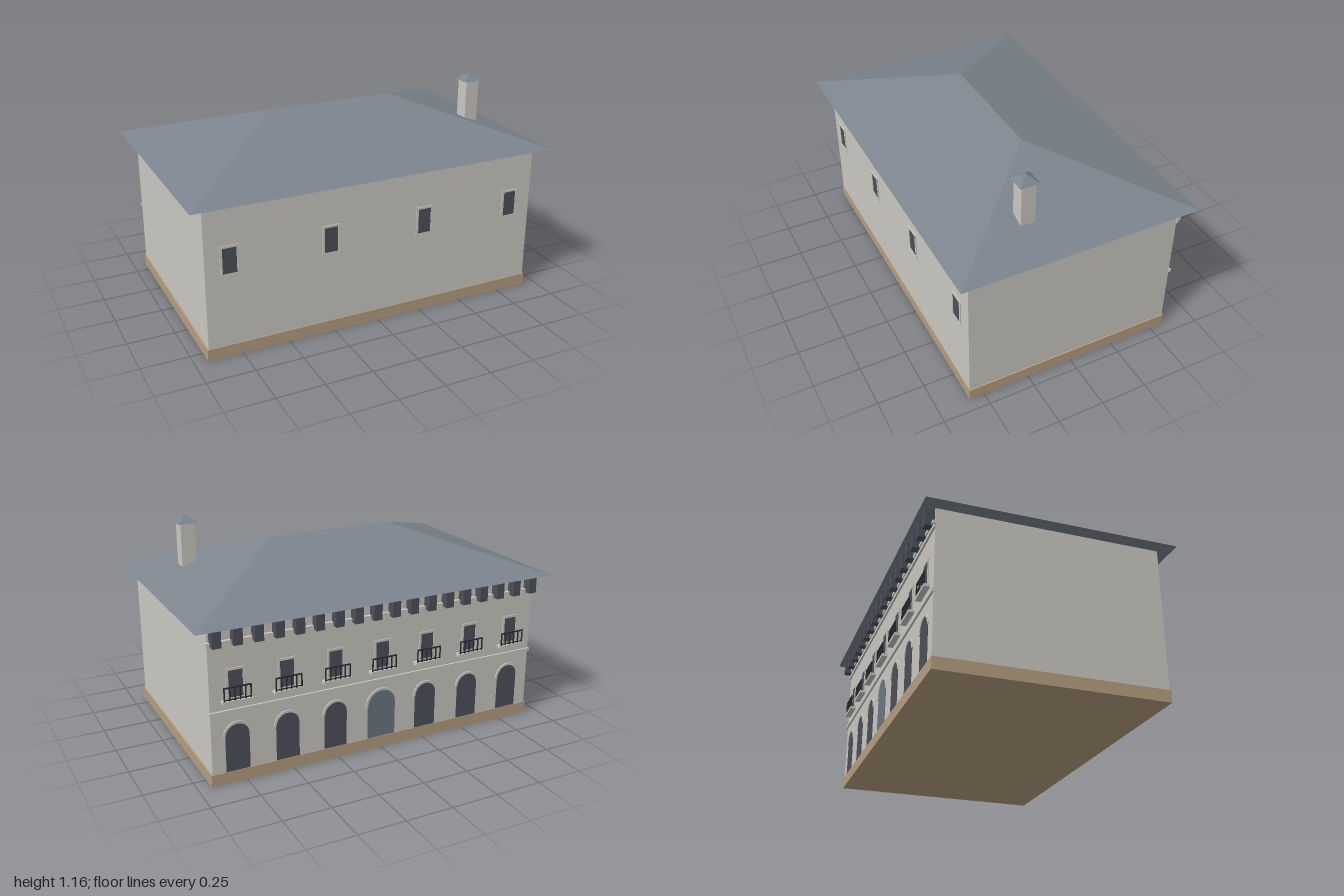
import * as THREE from 'three';

const mat = (name, color, opts = {}) => {
  const m = new THREE.MeshStandardMaterial({ color, flatShading: true, ...opts });
  m.name = name;
  return m;
};

export function createModel() {
  const house = new THREE.Group();
  house.name = 'villa';
  const plaster = mat('plaster', 0xcbc9c2);
  const stone = mat('plinthStone', 0xb69e80);
  const slate = mat('roofSlate', 0x7b848e, { side: THREE.DoubleSide });
  const glass = mat('darkGlass', 0x4c5159);
  const doorPaint = mat('doorPaint', 0x6d7781);
  const iron = mat('iron', 0x2a2c31);

  const add = (parent, name, geo, material, x = 0, y = 0, z = 0) => {
    const m = new THREE.Mesh(geo, material);
    m.name = name;
    m.position.set(x, y, z);
    parent.add(m);
    return m;
  };
  // Box given by its centre x, vertical range and depth range
  const box = (parent, name, material, x, w, y0, y1, z0, z1) =>
    add(parent, name, new THREE.BoxGeometry(w, y1 - y0, z1 - z0), material, x, (y0 + y1) / 2, (z0 + z1) / 2);

  const WALL = 0.576;

  // Main block
  box(house, 'walls', plaster, 0, 1.85, 0.05, 0.815, -WALL, WALL);
  box(house, 'plinth', stone, 0, 1.864, 0, 0.062, -0.58, 0.58);

  // Hipped roof: four eave corners and two ridge ends
  const p = [
    [-1, 0.815, 0.645], [1, 0.815, 0.645], [1, 0.815, -0.645], [-1, 0.815, -0.645],
    [-0.355, 1.037, 0], [0.355, 1.037, 0],
  ];
  const faces = [0, 1, 5, 0, 5, 4, 1, 2, 5, 2, 3, 4, 2, 4, 5, 3, 0, 4, 0, 3, 2, 0, 2, 1];
  const roof = new THREE.BufferGeometry();
  roof.setAttribute('position', new THREE.Float32BufferAttribute(faces.flatMap((i) => p[i]), 3));
  roof.computeVertexNormals();
  add(house, 'roof', roof, slate);

  // Chimney with pyramid cap
  const chimney = new THREE.Group();
  chimney.name = 'chimney';
  box(chimney, 'chimneyShaft', plaster, 0.75, 0.077, 0.885, 1.12, 0.158, 0.235);
  const cap = new THREE.ConeGeometry(0.052 * Math.SQRT2, 0.039, 4);
  cap.rotateY(Math.PI / 4);
  add(chimney, 'chimneyCap', cap, slate, 0.75, 1.1375, 0.197);
  house.add(chimney);

  // Rectangular window: thin pane inside a slim surround
  const addWindow = (parent, x, y0 = 0.45, y1 = 0.585) => {
    const g = new THREE.Group();
    g.name = 'window';
    const w = 0.073, b = 0.012;
    box(g, 'pane', glass, x, w, y0, y1, WALL - 0.004, WALL + 0.002);
    for (const s of [-1, 1])
      box(g, 'jamb', plaster, x + s * (w + b) / 2, b, y0 - b, y1 + b, WALL - 0.004, WALL + 0.005);
    box(g, 'lintel', plaster, x, w, y1, y1 + b, WALL - 0.004, WALL + 0.005);
    box(g, 'sill', plaster, x, w, y0 - b, y0, WALL - 0.004, WALL + 0.005);
    parent.add(g);
  };

  // Plain side with four windows
  for (const x of [-0.8, -0.268, 0.265, 0.795]) addWindow(house, x);

  // Ornate facade, built facing +z and turned to the rear
  const facade = new THREE.Group();
  facade.name = 'ornateFacade';
  facade.rotation.y = Math.PI;
  house.add(facade);

  // Arched panel with a raised half ring over it
  const addArch = (x, r, spring, material, name) => {
    const panel = new THREE.Shape();
    panel.moveTo(-r, 0.062);
    panel.lineTo(r, 0.062);
    panel.lineTo(r, spring);
    panel.absarc(0, spring, r, 0, Math.PI, false);
    add(facade, name, new THREE.ExtrudeGeometry(panel, { depth: 0.004, bevelEnabled: false, curveSegments: 10 }),
      material, x, 0, WALL - 0.002);
    const ring = new THREE.Shape();
    ring.absarc(0, spring, r + 0.013, 0, Math.PI, false);
    ring.absarc(0, spring, r, Math.PI, 0, true);
    add(facade, 'archivolt', new THREE.ExtrudeGeometry(ring, { depth: 0.008, bevelEnabled: false, curveSegments: 10 }),
      plaster, x, 0, WALL - 0.002);
  };

  // Balcony slab with a straight iron railing
  const addBalcony = (x) => {
    const g = new THREE.Group();
    g.name = 'balcony';
    box(g, 'slab', plaster, x, 0.155, 0.429, 0.444, WALL - 0.004, 0.606);
    box(g, 'topRail', iron, x, 0.14, 0.508, 0.515, 0.599, 0.604);
    box(g, 'bottomRail', iron, x, 0.14, 0.448, 0.453, 0.599, 0.604);
    for (let i = 0; i < 6; i++)
      box(g, 'baluster', iron, x - 0.0675 + i * 0.027, 0.006, 0.444, 0.51, 0.599, 0.604);
    facade.add(g);
  };

  // Seven bays, with the wider door in the middle
  for (let i = -3; i <= 3; i++) {
    const x = i * 0.264;
    if (i === 0) addArch(x, 0.08, 0.243, doorPaint, 'door');
    else addArch(x, 0.062, 0.248, glass, 'archedWindow');
    addWindow(facade, x, 0.45, 0.588);
    addBalcony(x);
  }

  // String course, cornice and eave brackets
  box(facade, 'stringCourse', plaster, 0, 1.86, 0.374, 0.39, WALL - 0.004, 0.586);
  box(facade, 'corniceLower', plaster, 0, 1.86, 0.706, 0.726, WALL - 0.004, 0.586);
  box(facade, 'corniceUpper', plaster, 0, 1.87, 0.726, 0.744, WALL - 0.004, 0.592);
  for (let i = 0; i < 18; i++)
    box(facade, 'eaveBracket', glass, -0.8925 + i * 0.105, 0.045, 0.724, 0.812, WALL - 0.004, 0.623);

  return house;
}
